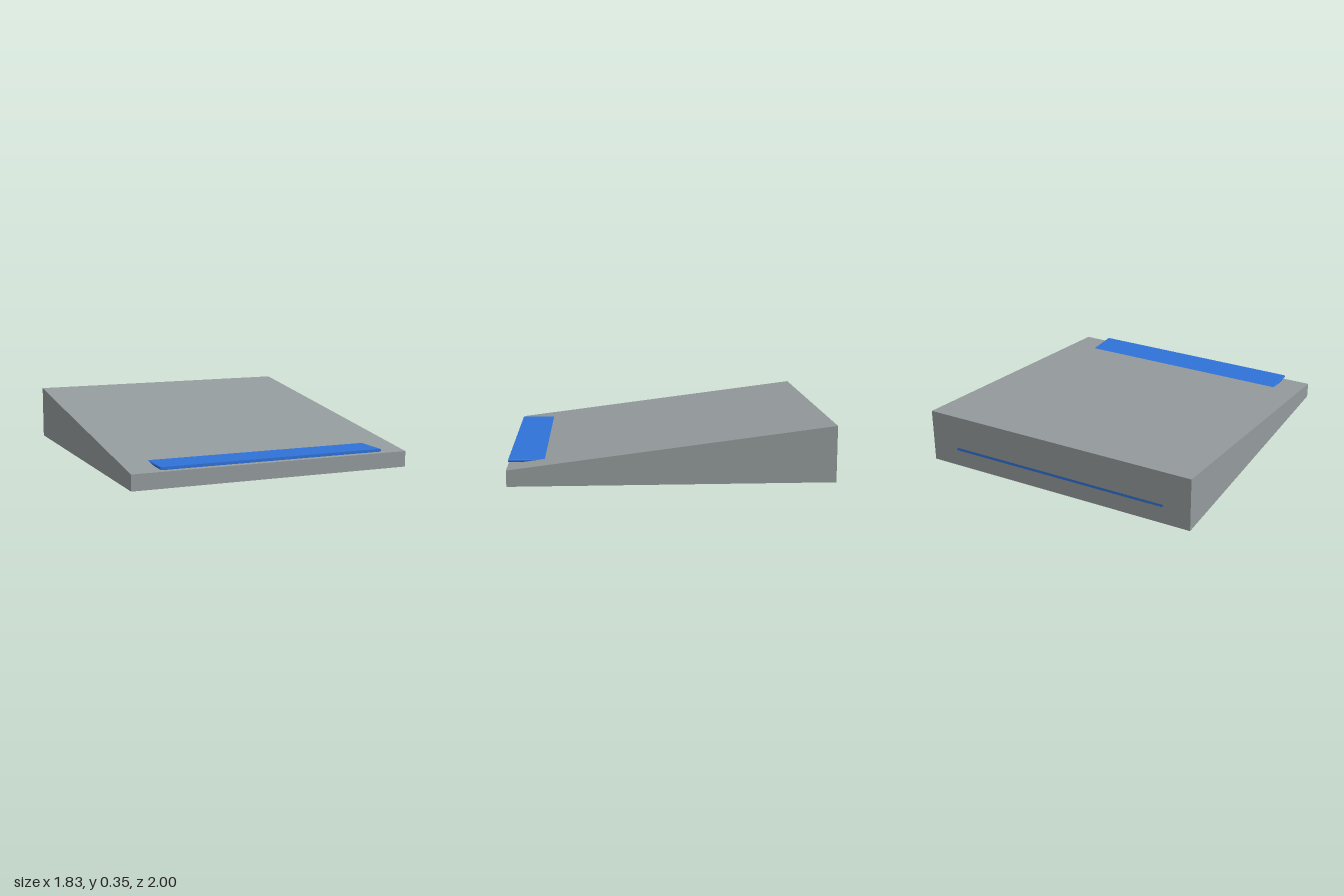
import * as THREE from 'three';

// Extrude a cross-section along an axis, centred on that axis
function prism(shape, length) {
  const geometry = new THREE.ExtrudeGeometry(shape, { depth: length, bevelEnabled: false, curveSegments: 6 });
  return geometry.translate(0, 0, -length / 2);
}

function roundedRect(x0, y0, x1, y1, r) {
  const s = new THREE.Shape();
  s.absarc(x1 - r, y0 + r, r, -Math.PI / 2, 0);
  s.absarc(x1 - r, y1 - r, r, 0, Math.PI / 2);
  s.absarc(x0 + r, y1 - r, r, Math.PI / 2, Math.PI);
  s.absarc(x0 + r, y0 + r, r, Math.PI, Math.PI * 1.5);
  s.closePath();
  return s;
}

export function createModel() {
  const model = new THREE.Group();
  model.name = 'wedgeStand';

  // Sloping body: side profile drawn with x standing for -z
  const profile = new THREE.Shape([[-1, 0], [1, 0], [1, 0.35], [-1, 0.1]].map(([x, y]) => new THREE.Vector2(x, y)));
  const body = new THREE.Mesh(
    prism(profile, 1.83).rotateY(Math.PI / 2),
    new THREE.MeshStandardMaterial({ color: 0x949b9d })
  );
  body.name = 'wedgeBody';
  model.add(body);

  // Level plate running through the body, emerging at the low front
  const plate = new THREE.Mesh(
    prism(roundedRect(-0.735, 0.11, 0.735, 0.128, 0.007), 2),
    new THREE.MeshStandardMaterial({ color: 0x2f72d8 })
  );
  plate.name = 'frontPlate';
  model.add(plate);

  return model;
}
